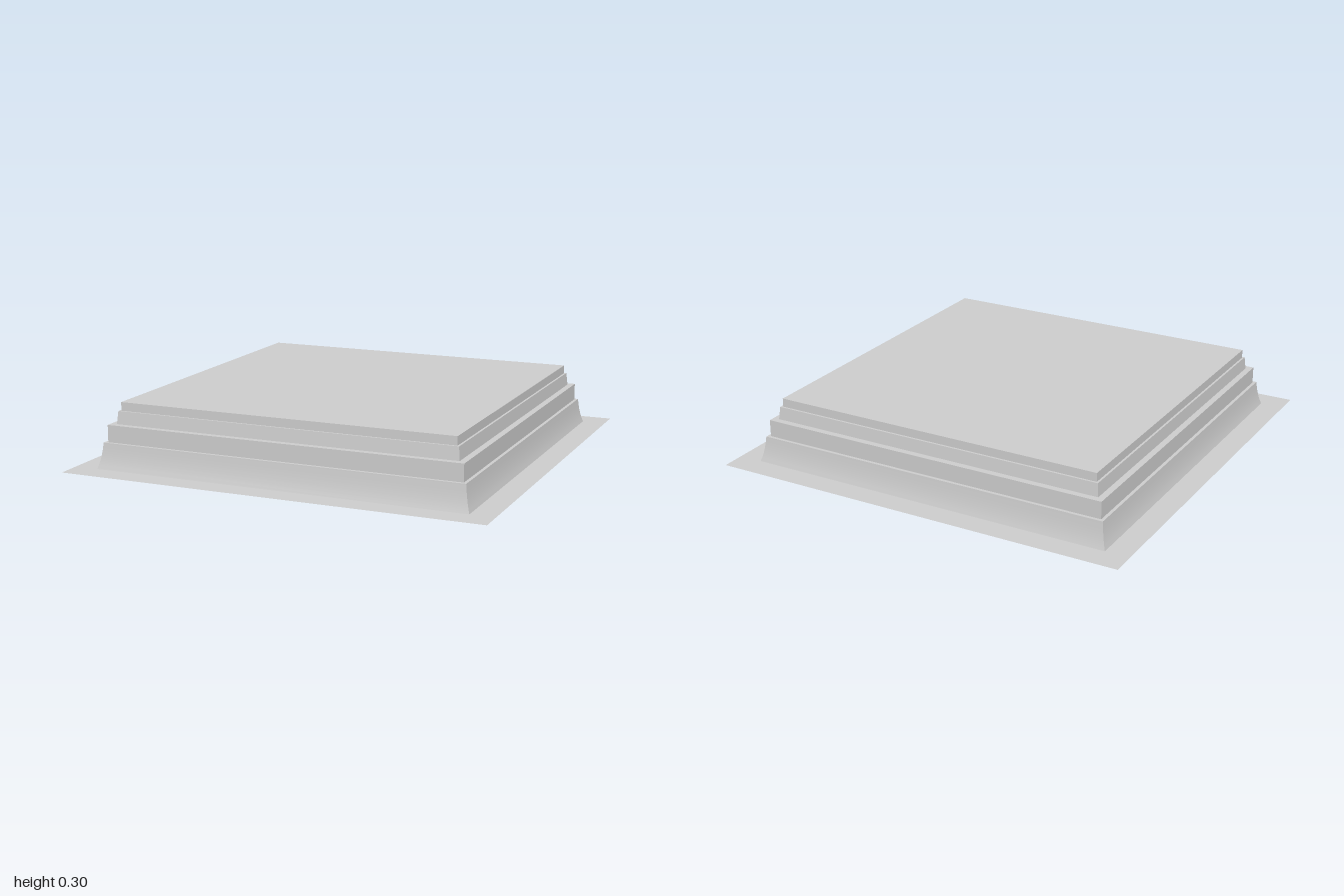
import * as THREE from 'three';
import { toCreasedNormals } from 'three/addons/utils/BufferGeometryUtils.js';

const material = new THREE.MeshStandardMaterial({ color: 0xcccccc, side: THREE.DoubleSide });

// Sweeps a profile of [half width, height] around a square
function squareSweep(name, profile) {
  const points = profile.map(([w, y]) => new THREE.Vector2(w * Math.SQRT2, y));
  const geometry = new THREE.LatheGeometry(points, 4, Math.PI / 4);
  const mesh = new THREE.Mesh(toCreasedNormals(geometry, 0.5), material);
  mesh.name = name;
  return mesh;
}

export function createModel() {
  const group = new THREE.Group();
  group.name = 'trayCeiling';

  // Flat border around the opening
  group.add(squareSweep('border', [[1, 0], [0.887, 0]]));

  // Curved cove rising from the border
  const cove = new THREE.QuadraticBezierCurve(
    new THREE.Vector2(0.887, 0), new THREE.Vector2(0.87, 0.045), new THREE.Vector2(0.863, 0.12));
  group.add(squareSweep('cove', cove.getPoints(5).map((p) => [p.x, p.y])));

  // Stepped mouldings narrowing toward the ceiling
  group.add(squareSweep('steps', [
    [0.863, 0.12], [0.848, 0.12], [0.848, 0.2], [0.818, 0.2],
    [0.812, 0.26], [0.802, 0.26], [0.802, 0.3],
  ]));

  // Raised ceiling panel
  const panel = new THREE.Mesh(new THREE.PlaneGeometry(1.604, 1.604).rotateX(-Math.PI / 2), material);
  panel.name = 'ceilingPanel';
  panel.position.y = 0.3;
  group.add(panel);

  // Shallow dome lamp hanging under the panel
  const dome = new THREE.SphereGeometry(0.295, 16, 6, 0, Math.PI * 2, Math.PI / 2, Math.PI / 2);
  const lamp = new THREE.Mesh(dome, material);
  lamp.name = 'domeLamp';
  lamp.scale.y = 0.07 / 0.295;
  lamp.position.y = 0.3;
  group.add(lamp);

  return group;
}
